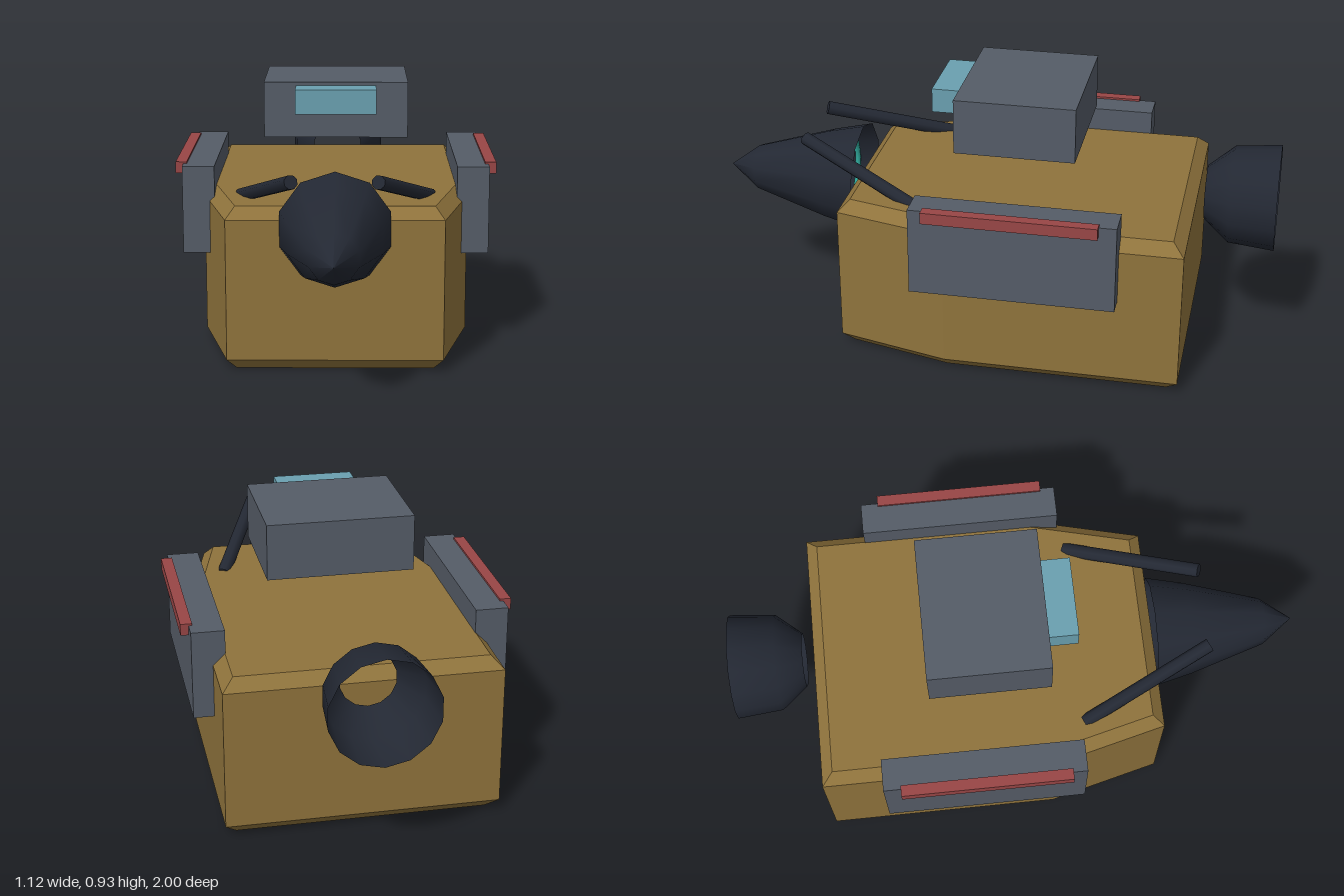
import * as THREE from 'three';

const material = (color, extra = {}) => new THREE.MeshStandardMaterial({ color, ...extra });
const mats = {
  hull: material(0x8f733c),
  grey: material(0x555c67),
  dark: material(0x232833),
  shell: material(0x232833, { side: THREE.DoubleSide }),
  glass: material(0x6aa0b0),
  red: material(0x984646),
  teal: material(0x2fa79a),
};

function addMesh(parent, name, geometry, mat) {
  const mesh = new THREE.Mesh(geometry, mat);
  mesh.name = name;
  parent.add(mesh);
  return mesh;
}

// Box given by its extents on each axis
function addBox(parent, name, [x0, x1], [y0, y1], [z0, z1], mat) {
  const geometry = new THREE.BoxGeometry(x1 - x0, y1 - y0, z1 - z0);
  const mesh = addMesh(parent, name, geometry, mat);
  mesh.position.set((x0 + x1) / 2, (y0 + y1) / 2, (z0 + z1) / 2);
  return mesh;
}

// Open shell turned around the z direction; profile is [radius, z] from back to front
function addShell(parent, name, profile, sides, y) {
  const points = profile.map(([r, z]) => new THREE.Vector2(r, z));
  const geometry = new THREE.LatheGeometry(points, sides).rotateX(Math.PI / 2);
  addMesh(parent, name, geometry, mats.shell).position.y = y;
}

// Rod between two points
function addRod(parent, name, from, to, radius) {
  const dir = to.clone().sub(from);
  const geometry = new THREE.CylinderGeometry(radius, radius, dir.length(), 8);
  const rod = addMesh(parent, name, geometry, mats.dark);
  rod.position.copy(from).add(to).multiplyScalar(0.5);
  rod.quaternion.setFromUnitVectors(new THREE.Vector3(0, 1, 0), dir.normalize());
}

export function createModel() {
  const model = new THREE.Group();
  model.name = 'craft';

  // Bevelled hull, tapering to the front
  const outline = new THREE.Shape(
    [[-0.425, -0.68], [0.425, -0.68], [0.425, 0.09], [0.335, 0.45], [-0.335, 0.45], [-0.425, 0.09]]
      .map(([x, z]) => new THREE.Vector2(x, z)));
  const hull = new THREE.ExtrudeGeometry(outline, {
    depth: 0.485, bevelEnabled: true, bevelSize: 0.04, bevelThickness: 0.04, bevelSegments: 1,
  });
  hull.rotateX(Math.PI / 2).translate(0, 0.525, 0);
  addMesh(model, 'hull', hull, mats.hull);

  // Hollow nose cone and the rings inside it
  addShell(model, 'noseCone', [[0.195, 0.49], [0.165, 0.62], [0.083, 0.89], [0, 1]], 10, 0.495);
  for (const [radius, z] of [[0.15, 0.56], [0.09, 0.6]]) {
    const ring = addMesh(model, 'noseRing', new THREE.TorusGeometry(radius, 0.01, 6, 24), mats.teal);
    ring.position.set(0, 0.495, z);
  }

  // Exhaust nozzle, open at both ends
  addShell(model, 'exhaustNozzle', [[0.185, -1], [0.17, -0.84], [0.095, -0.75]], 14, 0.55);

  // Cabin and its window
  addBox(model, 'cabin', [-0.252, 0.252], [0.735, 0.93], [-0.32, 0.1], mats.grey);
  addBox(model, 'window', [-0.14, 0.14], [0.833, 0.918], [0.06, 0.2], mats.glass);

  // Side pods, their red strips and the front rods, on both sides
  for (const side of [-1, 1]) {
    const span = (a, b) => [side * a, side * b].sort((p, q) => p - q);
    addBox(model, 'sidePod', span(0.423, 0.535), [0.34, 0.648], [-0.505, 0.195], mats.grey);
    addBox(model, 'podStrip', span(0.523, 0.562), [0.615, 0.655], [-0.445, 0.145], mats.red);
    addRod(model, 'frontRod',
      new THREE.Vector3(side * 0.14, 0.69, 0.665),
      new THREE.Vector3(side * 0.33, 0.55, 0.21), 0.024);
  }
  return model;
}
